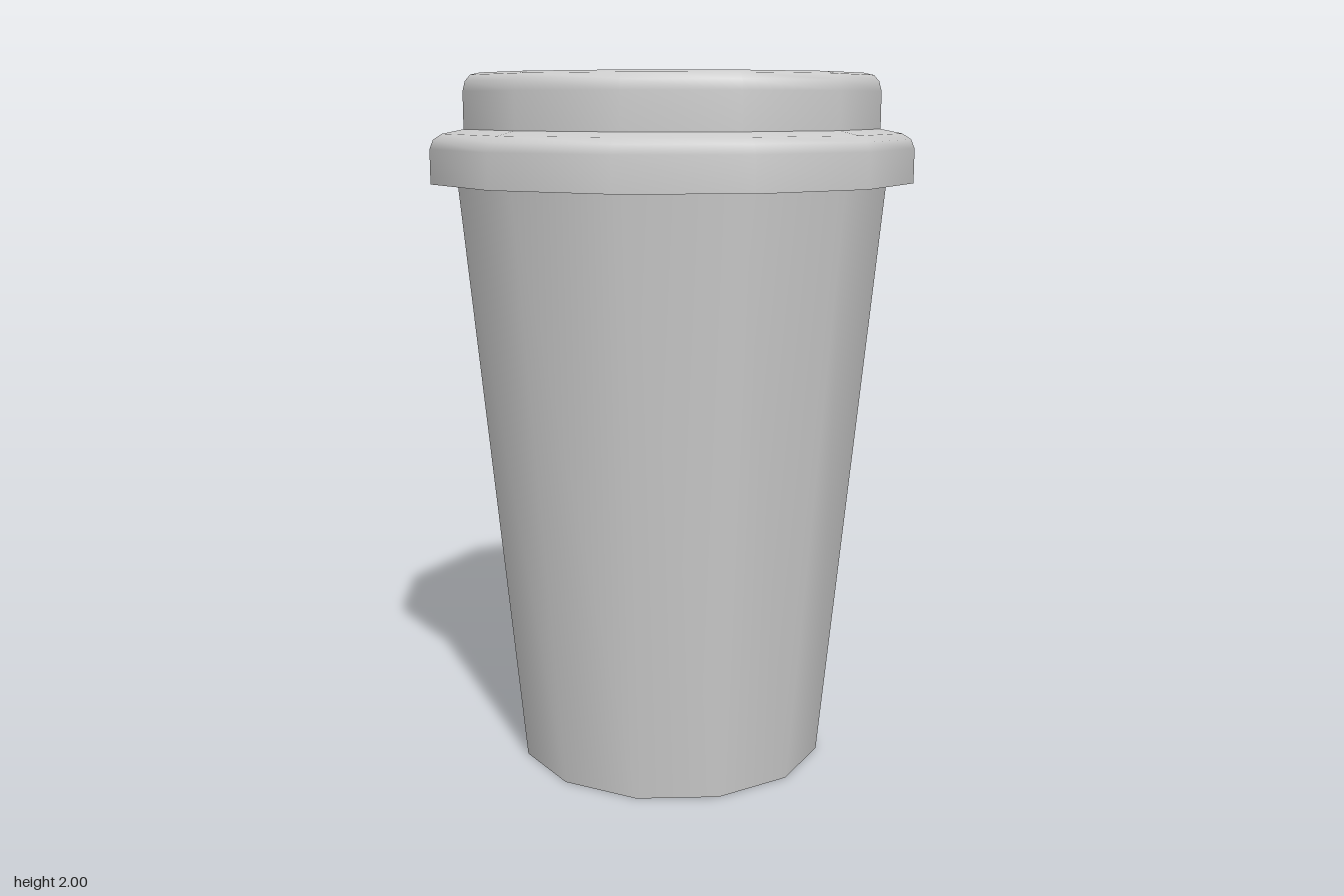
import * as THREE from 'three';

const SIDES = 12;
const TOP = 2;
const RECESS_R = 0.465;
const RECESS_DEPTH = 0.07;

export function createModel() {
  const group = new THREE.Group();
  const material = new THREE.MeshStandardMaterial({ color: 0xcccccc });
  const inner = new THREE.MeshStandardMaterial({ color: 0xcccccc, side: THREE.DoubleSide });

  const add = (name, geometry, mat = material) => {
    const mesh = new THREE.Mesh(geometry, mat);
    mesh.name = name;
    group.add(mesh);
  };
  // Separate lathes keep a sharp edge where they meet
  const lathe = (name, points) =>
    add(name, new THREE.LatheGeometry(points.map(([r, y]) => new THREE.Vector2(r, y)), SIDES));

  // Cup
  lathe('cupBase', [[0, 0], [0.45, 0]]);
  lathe('cupWall', [[0.45, 0], [0.615, 1.7]]);

  // Lid rim with rounded shoulder
  lathe('rimUnderside', [[0.61, 1.7], [0.69, 1.7]]);
  lathe('rim', [[0.69, 1.7], [0.69, 1.795], [0.68, 1.82], [0.655, 1.836], [0.595, 1.848]]);

  // Raised lid with a softened top edge
  lathe('lid', [[0.595, 1.845], [0.595, 1.95], [0.588, 1.977], [0.573, 1.994], [0.545, TOP], [0.53, TOP], [RECESS_R, TOP]]);

  // Flat front half of the lid top
  const half = SIDES / 2;
  const front = new THREE.CircleGeometry(RECESS_R, half, Math.PI, Math.PI);
  front.rotateX(-Math.PI / 2).translate(0, TOP, 0);
  add('lidTop', front);

  // Drinking recess: floor slopes down towards the back
  const floorY = (z) => TOP + (z * RECESS_DEPTH) / RECESS_R;
  const floor = new THREE.CircleGeometry(RECESS_R, half, 0, Math.PI);
  floor.rotateX(-Math.PI / 2);
  const fp = floor.attributes.position;
  for (let i = 0; i < fp.count; i++) fp.setY(i, floorY(fp.getZ(i)));
  floor.computeVertexNormals();
  add('recessFloor', floor);

  // Recess wall follows the floor along its lower edge
  const wall = new THREE.CylinderGeometry(RECESS_R, RECESS_R, 1, half, 1, true, Math.PI / 2, Math.PI);
  const wp = wall.attributes.position;
  for (let i = 0; i < wp.count; i++) wp.setY(i, wp.getY(i) > 0 ? TOP : floorY(wp.getZ(i)));
  add('recessWall', wall, inner);

  return group;
}
